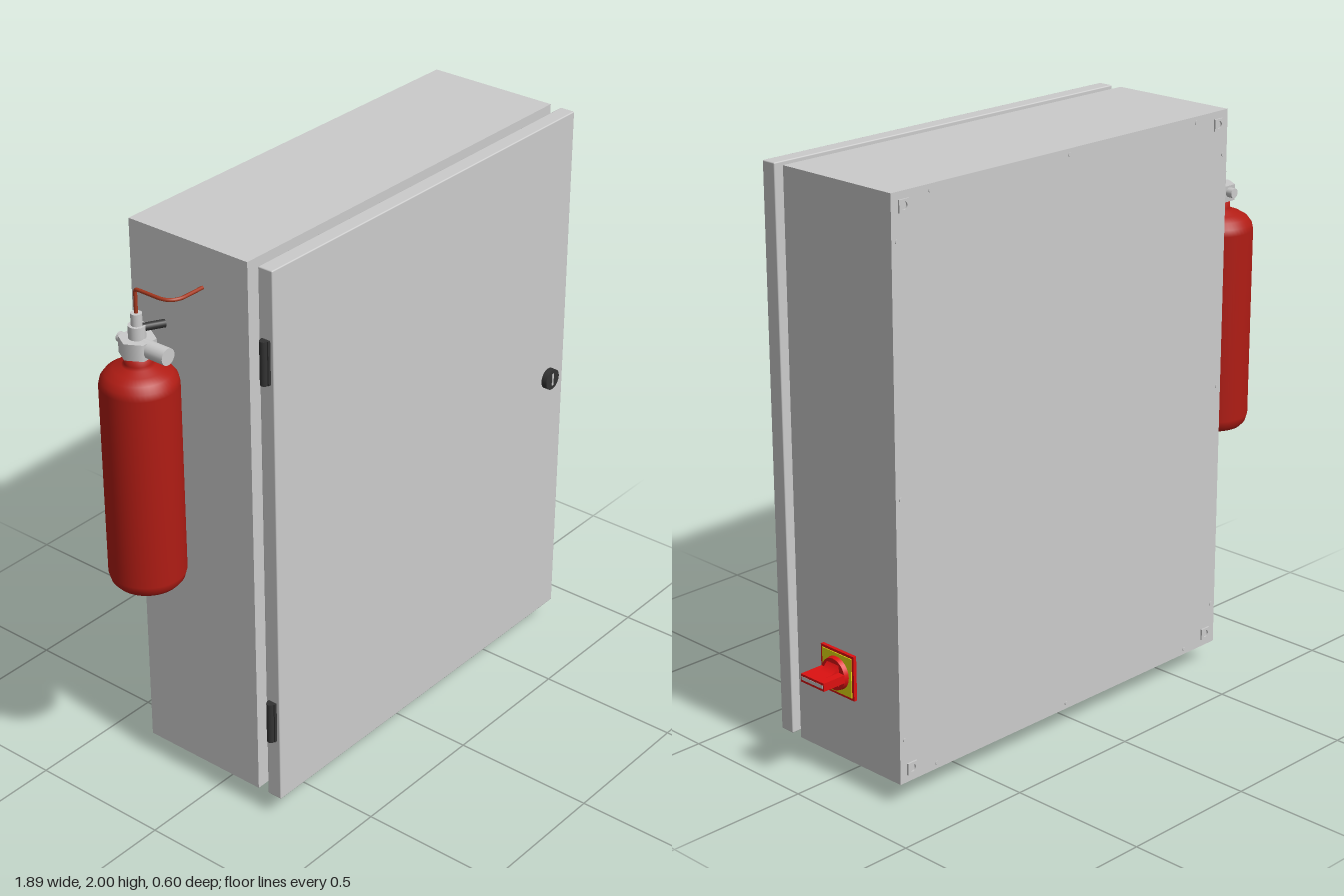
import * as THREE from 'three';
import { RoundedBoxGeometry } from 'three/addons/geometries/RoundedBoxGeometry.js';

const mat = (color, extra = {}) => new THREE.MeshStandardMaterial({ color, ...extra });
const grey = mat(0xcccccc), dark = mat(0x333333), red = mat(0xdd1111);
const yellow = mat(0xe6dc10), tankRed = mat(0xb01c14), copper = mat(0xa83a20);
const V = (x, y, z) => new THREE.Vector3(x, y, z);

export function createModel() {
  const root = new THREE.Group();

  const add = (name, geo, material, x = 0, y = 0, z = 0, parent = root) => {
    const m = new THREE.Mesh(geo, material);
    m.name = name;
    m.position.set(x, y, z);
    parent.add(m);
    return m;
  };
  // box given by its limits
  const box = (name, material, x0, x1, y0, y1, z0, z1, parent) =>
    add(name, new THREE.BoxGeometry(x1 - x0, y1 - y0, z1 - z0), material,
      (x0 + x1) / 2, (y0 + y1) / 2, (z0 + z1) / 2, parent);
  // cylinder centred on a point, lying along an axis
  const cyl = (name, material, r, len, axis, x, y, z, sides = 24, parent = root, rTop = r) => {
    const g = new THREE.CylinderGeometry(rTop, r, len, sides);
    if (axis === 'x') g.rotateZ(-Math.PI / 2);
    if (axis === 'z') g.rotateX(Math.PI / 2);
    return add(name, g, material, x, y, z, parent);
  };
  const group = (name) => {
    const g = new THREE.Group();
    g.name = name;
    root.add(g);
    return g;
  };

  // cabinet
  const L = -0.69, R = 0.827, B = 0.08, T = 2, BACK = -0.295, CX = (L + R) / 2;
  box('cabinetBody', grey, L, R, B, T, BACK, 0.18);
  box('sealCollar', grey, L + 0.05, R - 0.05, B + 0.05, T - 0.05, 0.17, 0.21);
  box('doorGasket', grey, L + 0.06, R - 0.06, B + 0.06, T - 0.06, 0.2, 0.225);
  add('door', new RoundedBoxGeometry(R - L, T - B, 0.055, 2, 0.004), grey, CX, (B + T) / 2, 0.248);

  // collar screws
  for (const y of [0.235, 1.845])
    for (const x of [L + 0.05, R - 0.05]) cyl('collarScrew', grey, 0.007, 0.01, 'x', x, y, 0.195, 10);
  for (const x of [-0.5, CX, 0.64])
    for (const y of [B + 0.05, T - 0.05]) cyl('collarScrew', grey, 0.007, 0.01, 'y', x, y, 0.195, 10);

  // hinges
  for (const y of [0.385, 1.695]) {
    cyl('hinge', dark, 0.013, 0.148, 'y', -0.701, y, 0.247, 16);
    box('hingeLeaf', dark, -0.7, -0.688, y - 0.074, y + 0.074, 0.232, 0.264);
  }

  // door lock
  cyl('lock', dark, 0.037, 0.022, 'z', 0.74, 1.04, 0.285, 32);
  box('lockSlot', grey, 0.736, 0.744, 1.018, 1.062, 0.29, 0.298);

  // back corner caps and screws
  for (const sx of [-1, 1]) {
    for (const sy of [-1, 1]) {
      const x = CX + sx * 0.71, y = 1.04 + sy * 0.915;
      const s = new THREE.Shape([[-1, -1], [1, -1], [1, 1], [-1, 1]]
        .map(([a, b]) => new THREE.Vector2(a * 0.02, b * 0.02)));
      s.holes.push(new THREE.Path().absarc(0, 0, 0.013, 0, Math.PI * 2, true));
      const g = new THREE.ExtrudeGeometry(s, { depth: 0.007, bevelEnabled: false });
      add('cornerCap', g, grey, x, y, BACK - 0.006);
      cyl('backScrew', grey, 0.007, 0.006, 'z', CX + sx * 0.738, 1.04 + sy * 0.81, BACK, 10);
      cyl('backScrew', grey, 0.007, 0.006, 'z', CX + sx * 0.6, 1.04 + sy * 0.94, BACK, 10);
    }
    cyl('backScrew', grey, 0.007, 0.006, 'z', CX + sx * 0.738, 1.04, BACK, 10);
    cyl('backScrew', grey, 0.007, 0.006, 'z', CX, 1.04 + sx * 0.94, BACK, 10);
  }

  // bottom gland plate with rounded corners
  const hw = 0.69, hd = 0.185, cr = 0.07, plate = new THREE.Shape();
  plate.absarc(hw - cr, hd - cr, cr, 0, Math.PI / 2);
  plate.absarc(-hw + cr, hd - cr, cr, Math.PI / 2, Math.PI);
  plate.absarc(-hw + cr, -hd + cr, cr, Math.PI, Math.PI * 1.5);
  plate.absarc(hw - cr, -hd + cr, cr, Math.PI * 1.5, Math.PI * 2);
  const plateGeo = new THREE.ExtrudeGeometry(plate, { depth: 0.006, bevelEnabled: false });
  plateGeo.rotateX(Math.PI / 2);
  add('glandPlate', plateGeo, grey, CX, B + 0.001, -0.06);
  for (const x of [-0.59, -0.26, 0.07, 0.4, 0.73])
    for (const z of [-0.225, 0.105]) cyl('plateScrew', grey, 0.01, 0.014, 'y', x, B - 0.004, z, 10);
  for (const x of [L + 0.035, R - 0.035]) cyl('bottomScrew', grey, 0.01, 0.012, 'y', x, B - 0.003, -0.265, 10);

  // cable glands: collar, hexagon nut and domed open cap
  const gland = (x, z, r) => {
    const g = group('cableGland');
    g.position.set(x, 0, z);
    cyl('glandCollar', grey, r * 0.9, 0.018, 'y', 0, 0.07, 0, 24, g);
    cyl('glandHex', grey, r, 0.022, 'y', 0, 0.053, 0, 6, g);
    const cap = [[0.82, 0.045], [0.82, 0.022], [0.92, 0.02], [0.88, 0.008], [0.55, 0.005], [0.5, 0.03], [0, 0.03]]
      .map(([a, y]) => new THREE.Vector2(a * r, y)).reverse();
    add('glandCap', new THREE.LatheGeometry(cap, 24), mat(0xcccccc, { side: THREE.DoubleSide, flatShading: true }), 0, 0, 0, g);
  };
  for (const x of [-0.478, -0.352, -0.226]) gland(x, -0.14, 0.036);
  [0.277, 0.352, 0.43, 0.516, 0.605].forEach((x, i) => gland(x, -0.13, i < 2 ? 0.026 : 0.03));

  // main switch on the left side
  const sw = group('mainSwitch');
  sw.position.set(R, 0.385, -0.022);
  box('switchFrame', red, -0.002, 0.012, -0.077, 0.077, -0.077, 0.077, sw);
  box('switchPlate', yellow, 0, 0.015, -0.068, 0.068, -0.068, 0.068, sw);
  cyl('switchDial', red, 0.057, 0.018, 'x', 0.022, 0, 0, 32, sw, 0.054);
  const grip = new THREE.Shape();
  grip.moveTo(0.025, -0.048);
  grip.quadraticCurveTo(0.04, -0.018, 0.068, -0.015);
  grip.lineTo(0.118, -0.013);
  grip.lineTo(0.118, 0.013);
  grip.lineTo(0.068, 0.015);
  grip.quadraticCurveTo(0.04, 0.018, 0.025, 0.048);
  const gripPart = (d, tip) => new THREE.ExtrudeGeometry(tip || grip, { depth: d, bevelEnabled: false });
  add('switchGripBase', gripPart(0.056), red, 0, 0, -0.028, sw);
  box('switchHandle', red, 0.03, 0.118, -0.014, 0.014, -0.054, 0.054, sw);
  box('switchPointer', grey, 0.112, 0.119, -0.006, 0.006, -0.05, 0.05, sw);

  // extinguisher bottle on the right side
  const ex = group('extinguisher');
  ex.position.set(-0.823, 0, -0.15);
  const profile = [[0, 0.85], [0.085, 0.845], [0.09, 0.832], [0.105, 0.835], [0.118, 0.85], [0.125, 0.875],
    [0.125, 1.54], [0.12, 1.562], [0.105, 1.582], [0.08, 1.597], [0.052, 1.607], [0.044, 1.615],
    [0.044, 1.645], [0, 1.645]].map(([r, y]) => new THREE.Vector2(r, y));
  add('bottle', new THREE.LatheGeometry(profile, 48), tankRed, 0, 0, 0, ex);

  // valve
  cyl('valveNut', grey, 0.06, 0.055, 'y', 0, 1.67, 0, 6, ex).rotation.y = Math.PI / 6;
  cyl('valveBody', grey, 0.028, 0.05, 'y', 0, 1.715, 0, 20, ex);
  cyl('valveStem', grey, 0.018, 0.06, 'y', 0, 1.75, 0, 16, ex);
  cyl('valveOutlet', grey, 0.028, 0.1, 'z', 0, 1.672, 0.075, 20, ex);
  cyl('valveGauge', grey, 0.017, 0.05, 'z', 0, 1.675, -0.05, 16, ex);
  const lever = cyl('valveLever', dark, 0.013, 0.075, 'x', 0.042, 1.73, 0.028, 16, ex);
  lever.rotation.y = -0.5;

  // release tube from valve into the cabinet
  const path = new THREE.CurvePath();
  const pts = [V(0, 1.76, 0), V(0, 1.85, 0), V(0, 1.86, 0.01), V(0, 1.86, 0.09), V(0.06, 1.86, 0.15), V(0.14, 1.86, 0.15)];
  path.add(new THREE.LineCurve3(pts[0], pts[1]));
  path.add(new THREE.QuadraticBezierCurve3(pts[1], V(0, 1.86, 0), pts[2]));
  path.add(new THREE.LineCurve3(pts[2], pts[3]));
  path.add(new THREE.QuadraticBezierCurve3(pts[3], V(0, 1.86, 0.15), pts[4]));
  path.add(new THREE.LineCurve3(pts[4], pts[5]));
  add('releaseTube', new THREE.TubeGeometry(path, 60, 0.006, 8), copper, 0, 0, 0, ex);

  return root;
}
